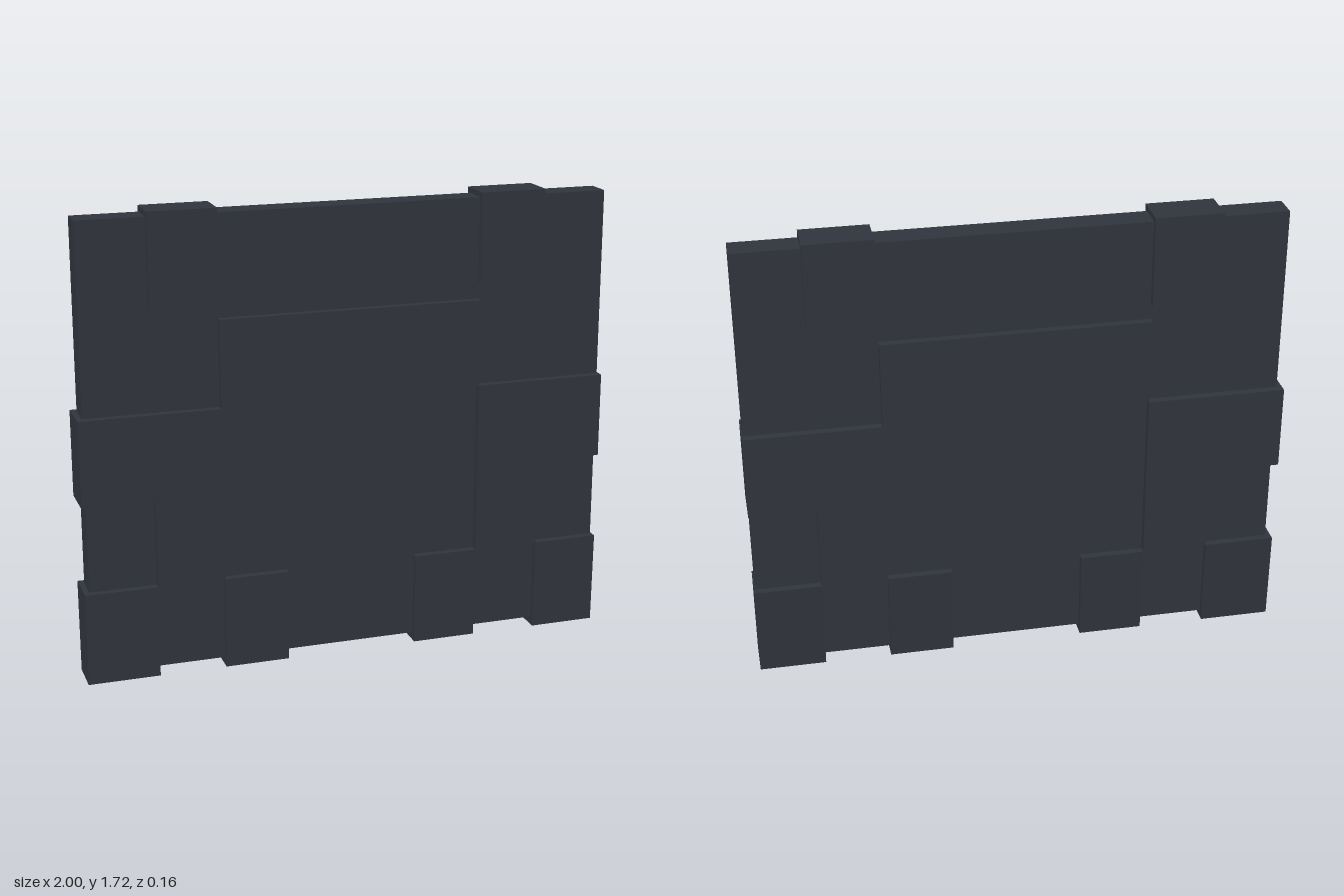
import * as THREE from 'three';

const material = new THREE.MeshStandardMaterial({ color: 0x30343c, flatShading: true });

// Block spanning x0..x1, y0..y1, with half depths at its bottom and top
function block(name, x0, x1, y0, y1, zBottom, zTop = zBottom) {
  const geometry = new THREE.BoxGeometry(Math.abs(x1 - x0), y1 - y0, 2);
  const p = geometry.attributes.position;
  for (let i = 0; i < p.count; i++) {
    p.setZ(i, p.getZ(i) * (p.getY(i) > 0 ? zTop : zBottom));
  }
  geometry.computeVertexNormals();
  const mesh = new THREE.Mesh(geometry, material);
  mesh.position.set((x0 + x1) / 2, (y0 + y1) / 2, 0);
  mesh.name = name;
  return mesh;
}

// L-shaped side band: wide above, with a leg along its inner end
function sideBand(name, inner, leg, outer, depth) {
  const shape = new THREE.Shape([
    [inner, 0.35], [leg, 0.35], [leg, 0.68], [outer, 0.68], [outer, 1], [inner, 1],
  ].map(([x, y]) => new THREE.Vector2(x, y)));
  const geometry = new THREE.ExtrudeGeometry(shape, { depth: depth * 2, bevelEnabled: false });
  geometry.translate(0, 0, -depth);
  const mesh = new THREE.Mesh(geometry, material);
  mesh.name = name;
  return mesh;
}

export function createModel() {
  const model = new THREE.Group();
  model.name = 'blockPanel';

  // Thin core slab and raised centre bar
  model.add(block('coreSlab', -0.98, 0.995, 0.03, 1.7, 0.05));
  model.add(block('centreBar', -0.485, 0.5, 1.0, 1.325, 0.078));

  // Raised blocks on each side; the pattern mirrors about a slightly offset axis
  const axis = 0.009;
  for (const [side, s] of [['left', 1], ['right', -1]]) {
    const x = (d) => axis + s * d;
    const outer = s;
    model.add(block(side + 'TopBlock', x(0.492), x(0.742), 1.385, 1.72, 0.077, 0.07));
    model.add(sideBand(side + 'SideBand', x(0.492), x(0.742), outer, 0.079));
    model.add(block(side + 'CornerBlock', x(0.742), outer, 0, 0.35, 0.071, 0.077));
    model.add(block(side + 'FootBlock', x(0.25), x(0.492), 0, 0.35, 0.071, 0.077));
  }
  return model;
}
